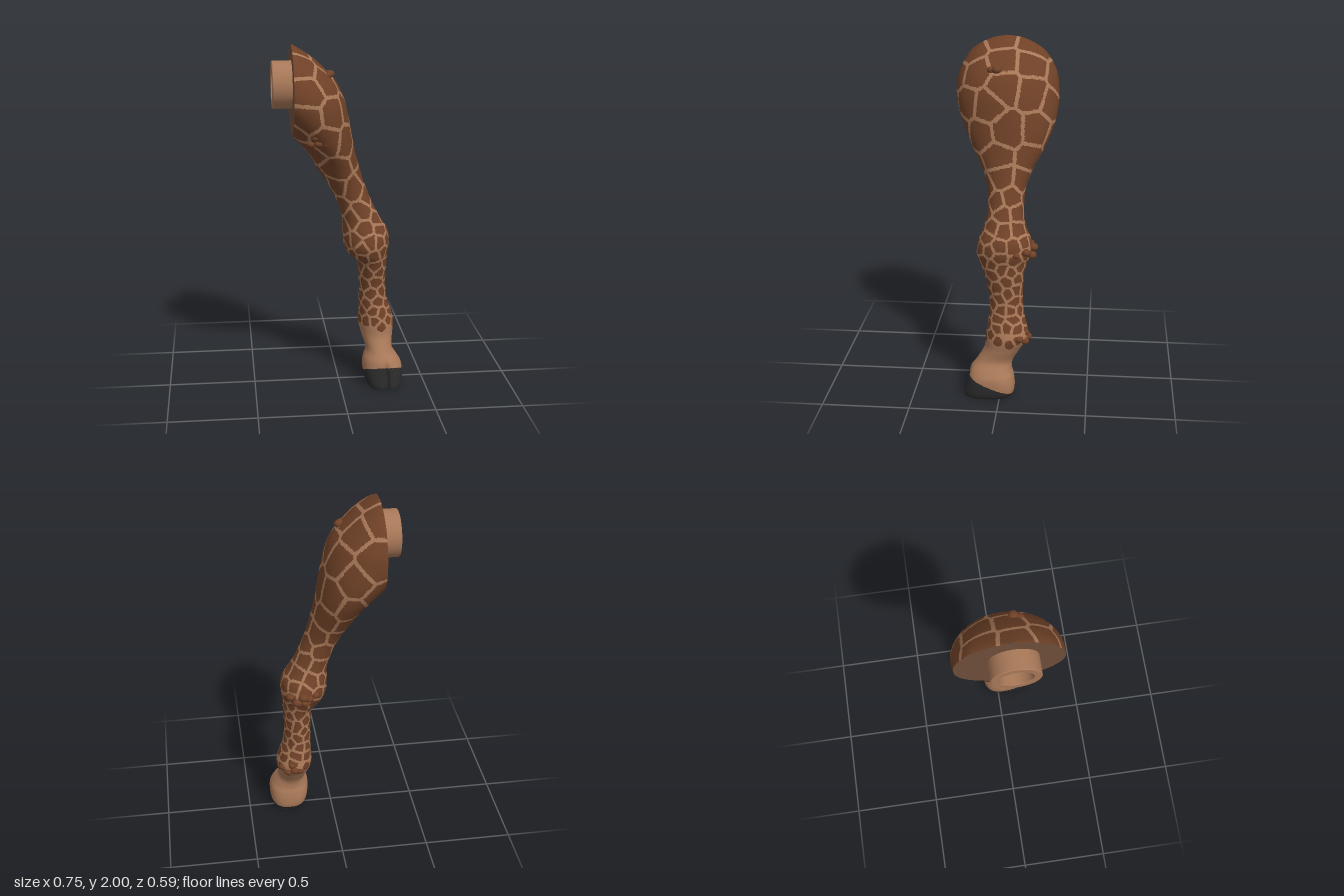
import * as THREE from 'three';

const TAN = 0xa87858, BROWN = 0x6f4127, HOOF = 0x2a2a2a, FLAT = 0x6e4e3a;
const PLANE = -0.265; // the thigh is cut flat here
const ROWS = 350, COLS = 140;

// Cross-sections from hip to sole: y, xMin, xMax, zMin, zMax
const STATIONS = [
  [2.0, -0.27, -0.26, -0.01, 0.01], [1.985, -0.31, -0.235, -0.09, 0.09],
  [1.95, -0.37, -0.18, -0.165, 0.165], [1.9, -0.43, -0.115, -0.225, 0.225],
  [1.8, -0.49, -0.02, -0.28, 0.28], [1.7, -0.46, 0.03, -0.296, 0.295],
  [1.6, -0.37, 0.055, -0.294, 0.275], [1.5, -0.275, 0.075, -0.27, 0.235],
  [1.4, -0.185, 0.093, -0.225, 0.185], [1.3, -0.125, 0.12, -0.17, 0.13],
  [1.2, -0.06, 0.15, -0.13, 0.095], [1.1, -0.01, 0.19, -0.12, 0.085],
  [1.0, 0.022, 0.24, -0.13, 0.1], [0.92, 0.025, 0.288, -0.165, 0.13],
  [0.85, 0.03, 0.295, -0.175, 0.145], [0.79, 0.055, 0.286, -0.15, 0.13],
  [0.73, 0.11, 0.284, -0.13, 0.1], [0.6, 0.125, 0.28, -0.125, 0.07],
  [0.5, 0.125, 0.29, -0.13, 0.067], [0.42, 0.125, 0.315, -0.148, 0.078],
  [0.35, 0.122, 0.332, -0.158, 0.086], [0.28, 0.138, 0.322, -0.115, 0.095],
  [0.21, 0.158, 0.315, -0.072, 0.135], [0.16, 0.143, 0.345, -0.065, 0.172],
  [0.12, 0.137, 0.366, -0.075, 0.184], [0.07, 0.142, 0.37, -0.082, 0.197],
  [0.03, 0.15, 0.368, -0.08, 0.208], [0.006, 0.162, 0.36, -0.066, 0.21],
  [0.0, 0.18, 0.345, -0.05, 0.195], [0.0, 0.262, 0.264, 0.07, 0.072],
];

function section(u) {
  const f = u * (STATIONS.length - 1), i = Math.min(Math.floor(f), STATIONS.length - 2), t = f - i;
  const at = k => STATIONS[THREE.MathUtils.clamp(k, 0, STATIONS.length - 1)];
  return at(i).map((p1, k) => {
    const p0 = at(i - 1)[k], p2 = at(i + 1)[k], p3 = at(i + 2)[k];
    return p1 + 0.5 * t * (p2 - p0 + t * (2 * p0 - 5 * p1 + 4 * p2 - p3 + t * (3 * (p1 - p2) + p3 - p0)));
  });
}

// One ring of the leg; rings that cross the cut plane stay open there
function ring(u) {
  const [y0, x0, x1, z0, z1] = section(u);
  const y = Math.max(0, y0), cx = (x0 + x1) / 2, rx = (x1 - x0) / 2, cz = (z0 + z1) / 2, rz = (z1 - z0) / 2;
  const open = x0 < PLANE;
  const a = open ? Math.acos(THREE.MathUtils.clamp((PLANE - cx) / rx, -1, 1)) : Math.PI;
  const hoof = 1 - THREE.MathUtils.smoothstep(y, 0.06, 0.2);
  const power = 1 - 0.25 * hoof;
  const pow = v => Math.sign(v) * Math.abs(v) ** power;
  const points = [];
  for (let j = 0; j <= COLS; j++) {
    const t = -a + 2 * a * j / COLS, s = Math.sin(t);
    const x = cx + rx * pow(Math.cos(t));
    let z = cz + rz * pow(s);
    // cleft at the front of the hoof
    if (s > 0) z -= 0.2 * rz * hoof * s * Math.exp(-(((x - 0.265) / 0.016) ** 2));
    points.push(new THREE.Vector3(x, y, z));
  }
  return { points, open };
}

function random(seed) {
  return () => (seed = (seed * 16807) % 2147483647) / 2147483647;
}

// Patch spacing shrinks down the leg
const spacing = y => THREE.MathUtils.lerp(0.058, 0.165, THREE.MathUtils.smoothstep(y, 0.75, 1.65));

// Evenly scattered patch centres on the surface
function scatter(rings) {
  const rnd = random(4711), seeds = [];
  for (let n = 0; n < 16000; n++) {
    const p = rings[Math.floor(rnd() * ROWS)].points[Math.floor(rnd() * COLS)];
    if (p.y < 0.33) continue;
    const d = spacing(p.y);
    if (seeds.every(s => s.distanceToSquared(p) > d * d * 0.8)) seeds.push(p);
  }
  return seeds;
}

// True inside a patch, false on the pale net between patches
function inPatch(p, seeds) {
  if (p.y < 0.3) return false;
  let d1 = 9, d2 = 9, s1, s2;
  for (const s of seeds) {
    const d = s.distanceToSquared(p);
    if (d < d1) { d2 = d1; s2 = s1; d1 = d; s1 = s; } else if (d < d2) { d2 = d; s2 = s; }
  }
  const size = spacing(p.y);
  const edge = (d2 - d1) / (2 * s1.distanceTo(s2));
  return edge > 0.006 + size * 0.03 && Math.sqrt(d1) < size * (p.y < 0.4 ? 0.5 : 0.85);
}

export function createModel() {
  const group = new THREE.Group();
  const add = (name, geometry, color, parent = group) => {
    const mesh = new THREE.Mesh(geometry, new THREE.MeshStandardMaterial({ color }));
    mesh.name = name;
    parent.add(mesh);
    return mesh;
  };

  // Leg surface
  const rings = Array.from({ length: ROWS + 1 }, (_, i) => ring(i / ROWS));
  const points = rings.flatMap(r => r.points), W = COLS + 1;
  const seeds = scatter(rings);
  const parts = { hide: [], patches: [], hoof: [] }, all = [];
  const centre = new THREE.Vector3();
  const face = (a, b, c) => {
    centre.copy(points[a]).add(points[b]).add(points[c]).divideScalar(3);
    const kind = centre.y < 0.125 - (0.18 - centre.z) * 0.4 || centre.y < 0.004 ? 'hoof'
      : inPatch(centre, seeds) ? 'patches' : 'hide';
    parts[kind].push(a, b, c);
    all.push(a, b, c);
  };
  for (let i = 0; i < ROWS; i++) for (let j = 0; j < COLS; j++) {
    const a = i * W + j;
    face(a, a + 1, a + W);
    face(a + 1, a + W + 1, a + W);
  }
  const surface = new THREE.BufferGeometry().setFromPoints(points);
  surface.setIndex(all);
  surface.computeVertexNormals();

  // Smooth the seam of the closed rings
  const normal = surface.attributes.normal, n0 = new THREE.Vector3(), n1 = new THREE.Vector3();
  rings.forEach((r, i) => {
    if (r.open) return;
    const a = i * W, b = a + COLS;
    n0.fromBufferAttribute(normal, a).add(n1.fromBufferAttribute(normal, b)).normalize();
    for (const k of [a, b]) normal.setXYZ(k, n0.x, n0.y, n0.z);
  });
  const colors = { hide: TAN, patches: BROWN, hoof: HOOF };
  for (const name in parts) {
    surface.setIndex(parts[name]);
    add(name, surface.toNonIndexed(), colors[name]);
  }

  // Flat cut face of the thigh
  const cut = rings.filter(r => r.open).map(r => r.points);
  const outline = [...cut.map(p => p[0]), ...cut.map(p => p[COLS]).reverse()];
  const flat = new THREE.ShapeGeometry(new THREE.Shape(outline.map(p => new THREE.Vector2(p.z, p.y))));
  add('hipFace', flat.rotateY(-Math.PI / 2), FLAT).position.x = PLANE;

  // Hollow joint peg
  const profile = [[0.09, 0], [0.09, 0.112], [0.093, 0.115], [0.129, 0.115], [0.133, 0.111], [0.133, 0]];
  const corners = [];
  profile.forEach(([r, y], i) => {
    if (i) corners.push([profile[i - 1], [r, y]]);
  });
  const peg = new THREE.Group();
  peg.name = 'jointPeg';
  for (const pair of corners) {
    const band = new THREE.LatheGeometry(pair.map(p => new THREE.Vector2(...p)).reverse(), 64);
    add('pegWall', band, TAN, peg).material.side = THREE.DoubleSide;
  }
  peg.rotation.z = Math.PI / 2;
  peg.position.set(-0.26, 1.78, 0.02);
  group.add(peg);

  // Knobbly warts: x, y, z, radius
  const knobs = {
    hipKnobs: [[-0.055, 1.84, 0.05, 0.028], [-0.07, 1.835, 0.08, 0.026], [-0.09, 1.82, 0.1, 0.02]],
    thighKnobs: [[-0.17, 1.475, 0.195, 0.024], [-0.13, 1.48, 0.205, 0.028], [-0.09, 1.475, 0.2, 0.025], [-0.15, 1.515, 0.222, 0.02]],
    kneeKnobs: [[0.11, 0.88, -0.158, 0.024], [0.145, 0.865, -0.17, 0.026], [0.18, 0.88, -0.18, 0.028],
      [0.215, 0.845, -0.175, 0.026], [0.25, 0.87, -0.145, 0.026], [0.17, 0.835, -0.17, 0.024], [0.28, 0.86, -0.09, 0.02]],
    fetlockKnobs: [[0.2, 0.345, -0.145, 0.022], [0.235, 0.355, -0.153, 0.026], [0.27, 0.34, -0.14, 0.026],
      [0.3, 0.36, -0.11, 0.025], [0.25, 0.385, -0.145, 0.02]],
  };
  for (const name in knobs) {
    const cluster = new THREE.Group();
    cluster.name = name;
    for (const [x, y, z, r] of knobs[name]) {
      const knob = add('knob', new THREE.SphereGeometry(r, 16, 12), BROWN, cluster);
      knob.position.set(x, y, z);
      knob.scale.y = 0.8;
    }
    group.add(cluster);
  }
  return group;
}
